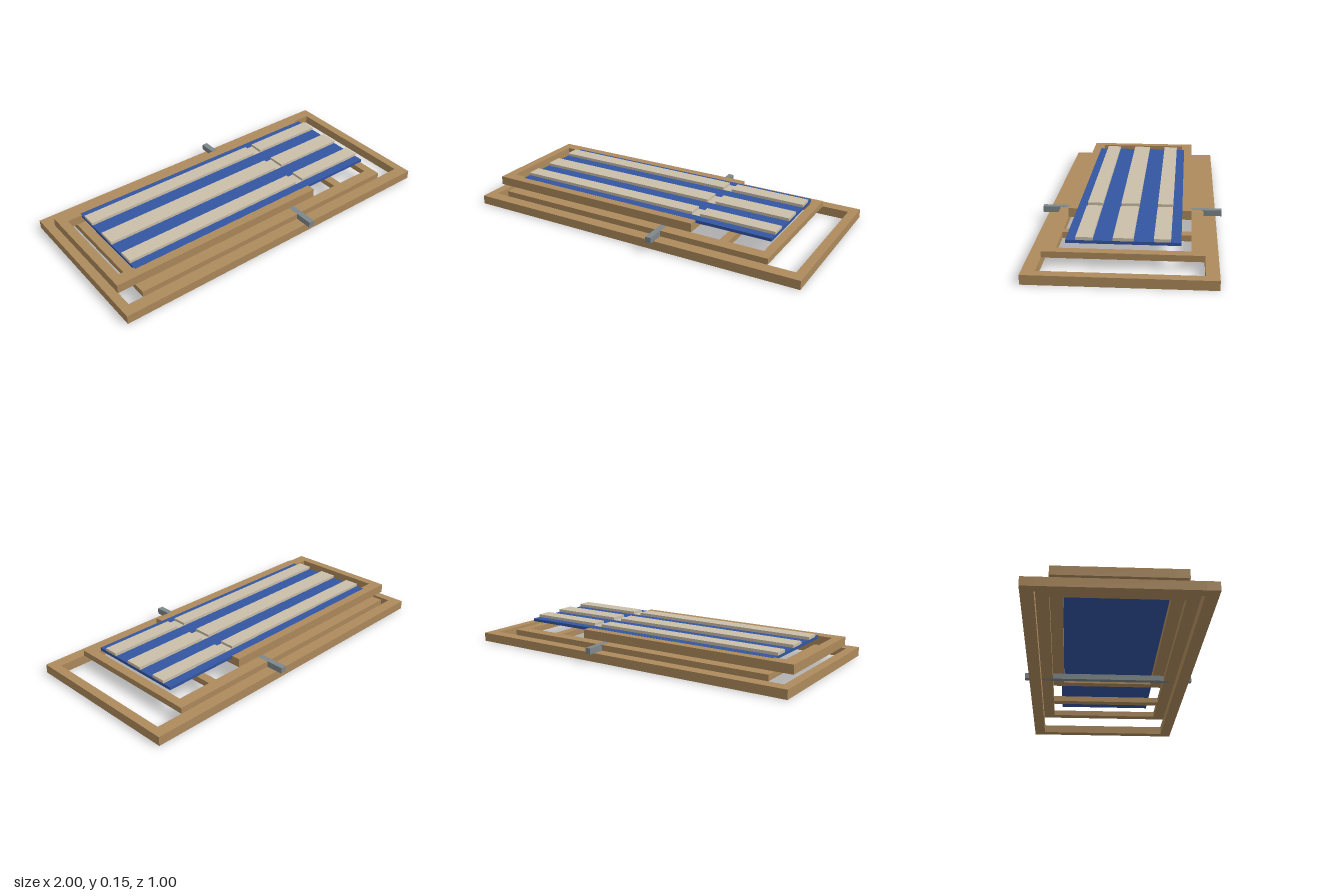
import * as THREE from 'three';

const mat = (name, color) => {
  const m = new THREE.MeshStandardMaterial({ color });
  m.name = name;
  return m;
};

export function createModel() {
  const wood = mat('wood', 0xad8a5c);
  const blue = mat('blue canvas', 0x3355a2);
  const cream = mat('cream stripe', 0xcabfa9);
  const steel = mat('grey metal', 0x7e878b);

  const model = new THREE.Group();
  model.name = 'foldedDeckChair';

  // Box given by its extents along each axis
  const box = (parent, name, m, [x0, x1], [y0, y1], [z0, z1]) => {
    const mesh = new THREE.Mesh(new THREE.BoxGeometry(x1 - x0, y1 - y0, z1 - z0), m);
    mesh.position.set((x0 + x1) / 2, (y0 + y1) / 2, (z0 + z1) / 2);
    mesh.name = name;
    parent.add(mesh);
  };

  // Rectangular frame: two long rails joined by crossbars 0.05 wide
  const frame = (name, x, y, outer, inner, bars) => {
    const g = new THREE.Group();
    g.name = name;
    box(g, 'leftRail', wood, x, y, [inner, outer]);
    box(g, 'rightRail', wood, x, y, [-outer, -inner]);
    for (const b of bars) box(g, 'crossbar', wood, [b, b + 0.05], y, [-inner, inner]);
    model.add(g);
  };

  frame('baseFrame', [-1, 1], [0, 0.05], 0.467, 0.4, [-1, 0.95]);
  frame('propFrame', [-0.867, 0.8], [0.05, 0.083], 0.4, 0.333, [-0.867, 0.5, 0.75]);
  frame('seatFrame', [-0.967, 0.333], [0.083, 0.133], 0.333, 0.267, [-0.967, 0.283]);

  // Pivot rod through the frames
  box(model, 'pivotRod', steel, [0.15, 0.183], [0.05, 0.0835], [-0.5, 0.5]);

  // Canvas sling, a hair above the seat frame
  box(model, 'canvas', blue, [-0.833, 0.767], [0.117, 0.1337], [-0.283, 0.283]);

  // Raised stripes, broken at the fold where they lie flat
  for (const z of [[-0.233, -0.15], [-0.05, 0.05], [0.15, 0.233]]) {
    box(model, 'longStripe', cream, [-0.833, 0.283], [0.1337, 0.15], z);
    box(model, 'shortStripe', cream, [0.333, 0.767], [0.1337, 0.15], z);
    box(model, 'foldStripe', cream, [0.283, 0.333], [0.1337, 0.135], z);
  }
  return model;
}
